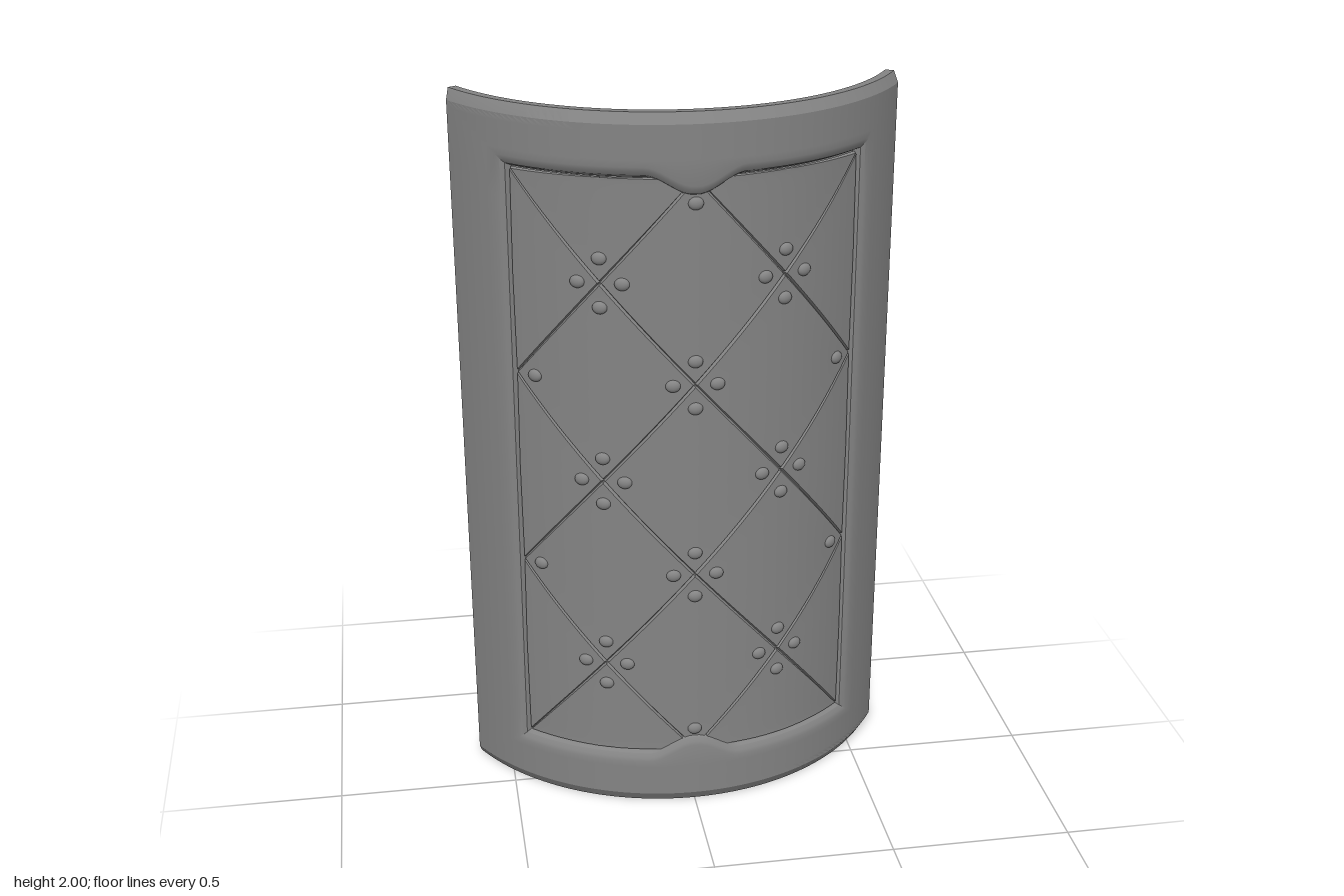
import * as THREE from 'three';
import { toCreasedNormals } from 'three/addons/utils/BufferGeometryUtils.js';

const material = new THREE.MeshStandardMaterial({ color: 0x848484 });
const doubleSided = new THREE.MeshStandardMaterial({ color: 0x848484, side: THREE.DoubleSide });
const { degToRad, lerp, smoothstep, clamp } = THREE.MathUtils;

// The shield is bent round a vertical axis at z = AXIS
const AXIS = -0.508, BACK = 0.65, FACE = 0.69, PANEL = 0.675, GROOVE = 0.666;
const EDGE = 60.5, PANEL_EDGE = 41.9, PANEL_HALF = 0.833;

// Point on the bent surface: angle in degrees, height, radius
function bend(angle, y, r) {
  const a = degToRad(angle);
  return [r * Math.sin(a), y, AXIS + r * Math.cos(a)];
}

function part(name, geometry, mat = material) {
  const mesh = new THREE.Mesh(geometry, mat);
  mesh.name = name;
  return mesh;
}

// Surface through rows of points
function loft(rows, crease) {
  const n = rows[0].length, index = [];
  for (let r = 0; r < rows.length - 1; r++) {
    for (let i = 0; i < n - 1; i++) {
      const a = r * n + i, c = a + n;
      index.push(a, a + 1, c, a + 1, c + 1, c);
    }
  }
  const geometry = new THREE.BufferGeometry();
  geometry.setAttribute('position', new THREE.Float32BufferAttribute(rows.flat(2), 3));
  geometry.setIndex(index);
  return toCreasedNormals(geometry, crease);
}

// Raised border, lofted from rectangular rings running from the back edge to the opening
function createFrame() {
  const square = [];
  const corners = [[-1, -1], [1, -1], [1, 1], [-1, 1]];
  corners.forEach(([p, q], k) => {
    const [p2, q2] = corners[(k + 1) % 4];
    const n = k % 2 ? 16 : 72;
    for (let i = 0; i < n; i++) square.push([lerp(p, p2, i / n), lerp(q, q2, i / n)]);
  });
  square.push(square[0]);

  // half angle, half height, radius, notch strength
  const rings = [[EDGE, 1, BACK, 0], [EDGE, 1, 0.674, 0], [EDGE - 1.2, 0.972, FACE, 0]];
  for (let i = 1; i <= 6; i++) {
    rings.push([lerp(EDGE - 1.2, 44.6, i / 6), lerp(0.972, 0.865, i / 6), FACE, i === 6 ? 1 : 0]);
  }
  rings.push([43.6, 0.854, 0.687, 1], [42.6, 0.843, 0.68, 1], [PANEL_EDGE, PANEL_HALF, 0.66, 1]);

  const rows = rings.map(([halfAngle, halfHeight, r, notch]) => square.map(([p, q]) => {
    const angle = p * halfAngle;
    const dip = 0.05 * notch * (1 - smoothstep(Math.abs(angle), 0.5, 11));
    const inset = Math.abs(q) === 1 ? q * dip : 0;
    return bend(angle, 1 + q * halfHeight - inset, r);
  }));
  return part('frame', loft(rows, 0.5));
}

// One quilted diamond on the lattice, cut to a triangle at the panel edges
const node = (i, j) => [i * PANEL_EDGE / 2, 1 + (j - 3) * PANEL_HALF / 3];

function createDiamond(i, j) {
  const at = (di, dj) => node(clamp(i + di, -2, 2), clamp(j + dj, 0, 6));
  const [bottom, right, top, left] = [at(0, -1), at(1, 0), at(0, 1), at(-1, 0)];
  const steps = [0, 0.012, 0.13, 0.26, 0.38, 0.5, 0.62, 0.74, 0.87, 0.988, 1];
  const rows = steps.map(v => steps.map(u => {
    const [angle, y] = [0, 1].map(k =>
      lerp(lerp(bottom[k], right[k], u), lerp(left[k], top[k], u), v));
    const onEdge = [u, v].some(t => t === 0 || t === 1);
    return bend(angle, y, onEdge ? GROOVE : PANEL);
  }));
  return part('quiltedDiamond', loft(rows, 0.4));
}

// Fine dashed seam on the inner face, between two [angle, height] points
function createSeam(from, to, dashes) {
  const seam = new THREE.Group();
  seam.name = 'innerSeam';
  for (let k = 0; k < dashes; k++) {
    const points = [0.15, 0.5, 0.85].map(t => {
      const s = (k + t) / dashes;
      return new THREE.Vector3(...bend(lerp(from[0], to[0], s), lerp(from[1], to[1], s), BACK));
    });
    const curve = new THREE.CatmullRomCurve3(points);
    seam.add(part('stitch', new THREE.TubeGeometry(curve, 4, 0.0015, 4)));
  }
  return seam;
}

// Arched strap with riveted half-round pads on the inner side
function createStrap(name, angle, width, halfHeight, depth, padHeight, rivetCount) {
  const strap = new THREE.Group();
  strap.name = name;
  strap.position.set(0, 1.31, AXIS);
  strap.rotation.y = degToRad(angle);
  const base = 0.643, thick = 0.008;

  const arch = new THREE.Shape();
  arch.absellipse(base, 0, depth, halfHeight, Math.PI / 2, Math.PI * 1.5, false);
  arch.lineTo(base, -halfHeight + thick);
  arch.absellipse(base, 0, depth - thick, halfHeight - thick, Math.PI * 1.5, Math.PI / 2, true);
  const bar = new THREE.ExtrudeGeometry(arch, { depth: width, bevelEnabled: false, curveSegments: 28 });
  bar.rotateY(-Math.PI / 2).translate(width / 2, 0, 0);
  strap.add(part('strapArch', toCreasedNormals(bar, 0.5)));

  const half = new THREE.Shape();
  half.absellipse(0, 0, width / 2, padHeight, 0, Math.PI, false);
  const padGeometry = toCreasedNormals(new THREE.ExtrudeGeometry(half,
    { depth: 0.012, bevelEnabled: false, curveSegments: 20 }), 0.5);
  const rivetGeometry = new THREE.SphereGeometry(width > 0.1 ? 0.01 : 0.006, 10, 6);
  for (const side of [1, -1]) {
    const pad = new THREE.Group();
    pad.name = 'strapPad';
    // The flat pad sits just proud of the curved inner face
    pad.position.set(0, side * (halfHeight - 0.006), BACK - 0.004 - 0.17 * width * width);
    if (side < 0) pad.rotation.z = Math.PI;
    pad.add(part('padPlate', padGeometry));
    for (let i = 0; i < rivetCount; i++) {
      const a = Math.PI * (i + 0.5) / rivetCount;
      const rivet = part('padRivet', rivetGeometry);
      rivet.position.set(Math.cos(a) * width * 0.4, Math.sin(a) * padHeight * 0.76, 0);
      rivet.scale.z = 0.6;
      pad.add(rivet);
    }
    strap.add(pad);
  }
  return strap;
}

export function createModel() {
  const shield = new THREE.Group();
  shield.name = 'shield';
  shield.add(createFrame());

  // Smooth inner face
  const span = degToRad(EDGE);
  const back = new THREE.CylinderGeometry(BACK, BACK, 2, 72, 1, true, -span, 2 * span);
  back.translate(0, 1, AXIS);
  shield.add(part('innerFace', back, doubleSided));

  // Quilted panel: diamonds, seams showing behind, and rivets round every crossing
  const rivetGeometry = new THREE.SphereGeometry(0.02, 16, 10);
  const panel = new THREE.Group();
  panel.name = 'panel';
  for (let i = -2; i <= 2; i++) {
    for (let j = 0; j <= 6; j++) {
      if ((i + j) % 2 !== 0) {
        panel.add(createDiamond(i, j));
        continue;
      }
      const [angle, y] = node(i, j);
      for (const di of [-1, 1]) {
        if (Math.abs(i + di) <= 2 && j < 6) panel.add(createSeam([angle, y], node(i + di, j + 1), 4));
      }
      for (const [da, dy] of [[5, 0], [-5, 0], [0, 0.066], [0, -0.066]]) {
        const a = angle + da, h = y + dy;
        if (Math.abs(a) > PANEL_EDGE - 1 || Math.abs(h - 1) > PANEL_HALF - 0.02) continue;
        const rivet = part('rivet', rivetGeometry);
        rivet.position.set(...bend(a, h, PANEL));
        rivet.rotation.y = degToRad(a);
        rivet.scale.set(1, 0.86, 0.55);
        panel.add(rivet);
      }
    }
  }

  // Seam outline of the panel on the inner face, following the notches
  for (const side of [1, -1]) {
    panel.add(createSeam(node(side * 2, 0), node(side * 2, 6), 12));
    const outline = [[-2, 0], [-0.5, 0], [-0.15, 0.045], [0.15, 0.045], [0.5, 0], [2, 0]]
      .map(([i, dip]) => [i * PANEL_EDGE / 2, 1 + side * (PANEL_HALF - dip)]);
    for (let k = 0; k < 5; k++) {
      panel.add(createSeam(outline[k], outline[k + 1], k % 4 === 0 ? 5 : 1));
    }
  }
  shield.add(panel);

  // Forearm strap and hand grip
  shield.add(createStrap('armStrap', 20, 0.21, 0.185, 0.175, 0.07, 7));
  shield.add(createStrap('handGrip', -20, 0.07, 0.128, 0.132, 0.046, 5));
  return shield;
}
